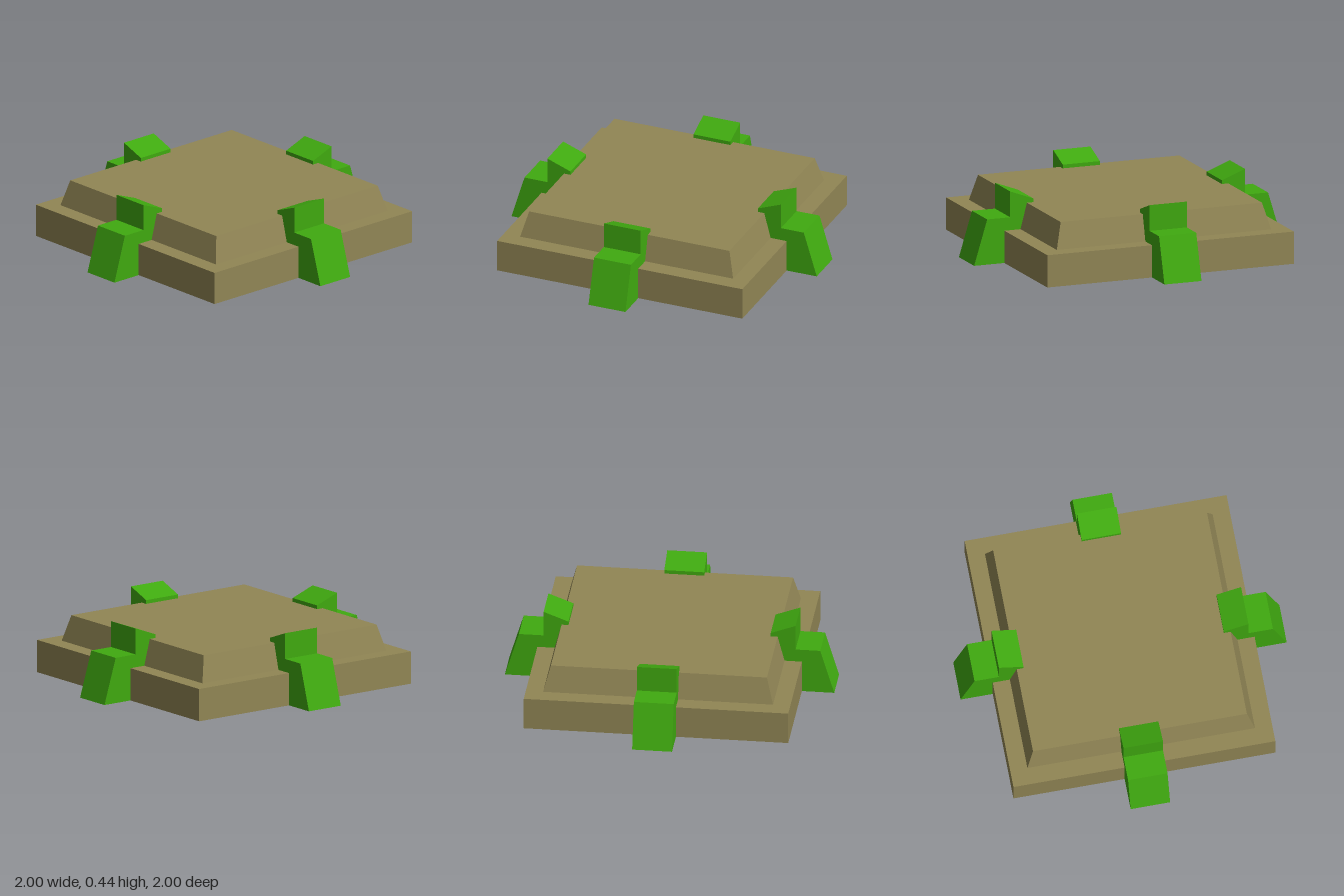
import * as THREE from 'three';

export function createModel() {
  const model = new THREE.Group();
  model.name = 'clampedPlatform';

  const stone = new THREE.MeshStandardMaterial({ color: 0x918655, flatShading: true });
  stone.name = 'tan stone';
  const green = new THREE.MeshStandardMaterial({ color: 0x40aa10, flatShading: true });
  green.name = 'clamp green';

  const add = (name, geometry, material) => {
    const mesh = new THREE.Mesh(geometry, material);
    mesh.name = name;
    model.add(mesh);
    return mesh;
  };

  // Square base slab
  add('baseSlab', new THREE.BoxGeometry(1.606, 0.2, 1.606), stone).position.y = 0.1;

  // Raised slab with sloping sides: a four-sided tapered cylinder
  const corner = Math.SQRT2;
  const slab = new THREE.CylinderGeometry(0.656 * corner, 0.698 * corner, 0.16, 4, 1, false, Math.PI / 4);
  add('raisedSlab', slab, stone).position.y = 0.28;

  // Stepped clamp, drawn as distance from the centre against height;
  // its inner edge is buried in the slabs
  const profile = [
    [0.803, 0], [1, 0], [0.915, 0.28], [0.765, 0.28], [0.765, 0.44],
    [0.614, 0.383], [0.614, 0.34], [0.68, 0.19], [0.79, 0.18], [0.79, 0.02],
  ];
  const width = 0.242;
  const clamp = new THREE.ExtrudeGeometry(
    new THREE.Shape(profile.map(([r, y]) => new THREE.Vector2(r, y))),
    { depth: width, bevelEnabled: false },
  );
  clamp.translate(0, 0, -width / 2);

  // One clamp in the middle of each side
  ['leftClamp', 'backClamp', 'rightClamp', 'frontClamp'].forEach((name, i) => {
    add(name, clamp, green).rotation.y = i * Math.PI / 2;
  });

  return model;
}
